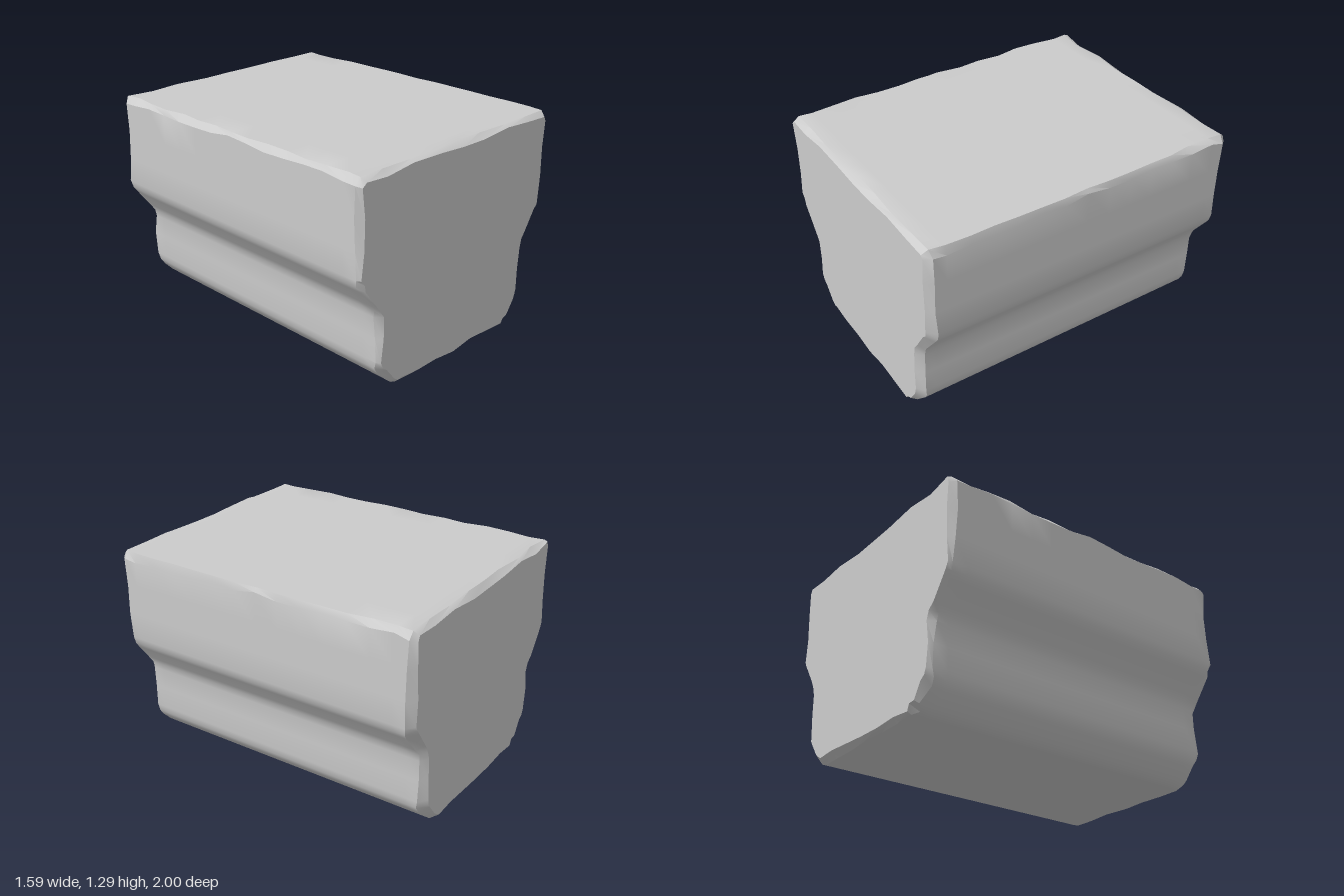
import * as THREE from 'three';
import { toCreasedNormals } from 'three/addons/utils/BufferGeometryUtils.js';

const HALF_WIDTH = 0.797, TOP = 1.295;

// small seeded generator for the worn edges
function seeded(seed) {
  let s = seed;
  return () => {
    s = (s * 16807) % 2147483647;
    return s / 2147483647;
  };
}

// one half of the outline, from the middle of the base to the middle of the top;
// drop and cut are the size of the chip on the top corner
function halfOutline(drop, cut) {
  return [
    [0.16, 0], [0.32, 0], [0.46, 0], [0.495, 0.012], [0.53, 0.04], [0.605, 0.115],
    [0.63, 0.155], [0.637, 0.2], [0.637, 0.34], [0.639, 0.47], [0.65, 0.515], [0.675, 0.555],
    [0.76, 0.665], [0.785, 0.7], [HALF_WIDTH, 0.745], [HALF_WIDTH, 0.9], [HALF_WIDTH, 1.08],
    [HALF_WIDTH, TOP - drop], [HALF_WIDTH - cut, TOP],
    [0.6, TOP], [0.4, TOP], [0.18, TOP],
  ];
}

// closed counter-clockwise outline
function outline(right, left) {
  const mirrored = halfOutline(...left).reverse().map(([x, y]) => [-x, y]);
  return [[0, 0], ...halfOutline(...right), [0, TOP], ...mirrored]
    .map(([x, y]) => new THREE.Vector2(x, y));
}

// move each outline point inwards by its own amount
function inset(points, amounts) {
  const n = points.length;
  return points.map((p, i) => {
    const a = p.clone().sub(points[(i + n - 1) % n]).normalize();
    const b = points[(i + 1) % n].clone().sub(p).normalize();
    const dir = a.add(b).normalize();
    return new THREE.Vector2(p.x - dir.y * amounts[i], p.y + dir.x * amounts[i]);
  });
}

function createBlockGeometry() {
  const rand = seeded(4217);
  const rings = [];
  const toRing = (points, zAt) => points.map((p, i) => [p.x, p.y, zAt(i)]);

  // worn end: the flat face outline and the full outline behind it
  function endRings(sign) {
    const full = outline([0.045, 0.03], [0.04, 0.035]);
    const wear = full.map((p) => {
      const rightSide = p.x > 0.55 && p.y < 1.2;
      const base = p.y < 0.12;
      if (rightSide) return 0.035 + 0.02 * rand();
      if (base) return 0.012 + 0.035 * rand();
      return 0.008 + 0.03 * rand();
    });
    const depth = wear.map((w) => 0.012 + 0.6 * w + 0.015 * rand());
    const face = inset(full, wear);
    return {
      face,
      rings: [toRing(face, () => sign), toRing(full, (i) => sign * (1 - depth[i]))],
    };
  }

  const front = endRings(1);
  const back = endRings(-1);
  rings.push(...front.rings);

  // chipped long top edges along the body
  const steps = 13;
  for (let k = 0; k < steps; k++) {
    const z = 0.88 - (1.76 * k) / (steps - 1);
    const right = [0.015 + 0.04 * rand(), z < -0.65 ? 0.04 : 0.008 + 0.012 * rand()];
    const left = [0.012 + 0.03 * rand(), 0.012 + 0.035 * rand()];
    rings.push(toRing(outline(right, left), () => z));
  }
  rings.push(back.rings[1], back.rings[0]);

  const n = rings[0].length;
  const index = [];
  for (let k = 0; k < rings.length - 1; k++) {
    for (let i = 0; i < n; i++) {
      const j = (i + 1) % n;
      const a = k * n + i, b = k * n + j, c = a + n, d = b + n;
      index.push(a, c, b, b, c, d);
    }
  }

  // flat end faces
  const last = (rings.length - 1) * n;
  for (const [a, b, c] of THREE.ShapeUtils.triangulateShape(front.face, [])) index.push(a, b, c);
  for (const [a, b, c] of THREE.ShapeUtils.triangulateShape(back.face, [])) {
    index.push(last + a, last + c, last + b);
  }

  const geometry = new THREE.BufferGeometry();
  geometry.setAttribute('position', new THREE.Float32BufferAttribute(rings.flat(2), 3));
  geometry.setIndex(index);
  return toCreasedNormals(geometry, 0.6);
}

export function createModel() {
  const group = new THREE.Group();
  group.name = 'stoneBlock';
  const material = new THREE.MeshStandardMaterial({ color: 0xcccccc, roughness: 0.9 });
  const block = new THREE.Mesh(createBlockGeometry(), material);
  block.name = 'wornBlock';
  group.add(block);
  return group;
}
